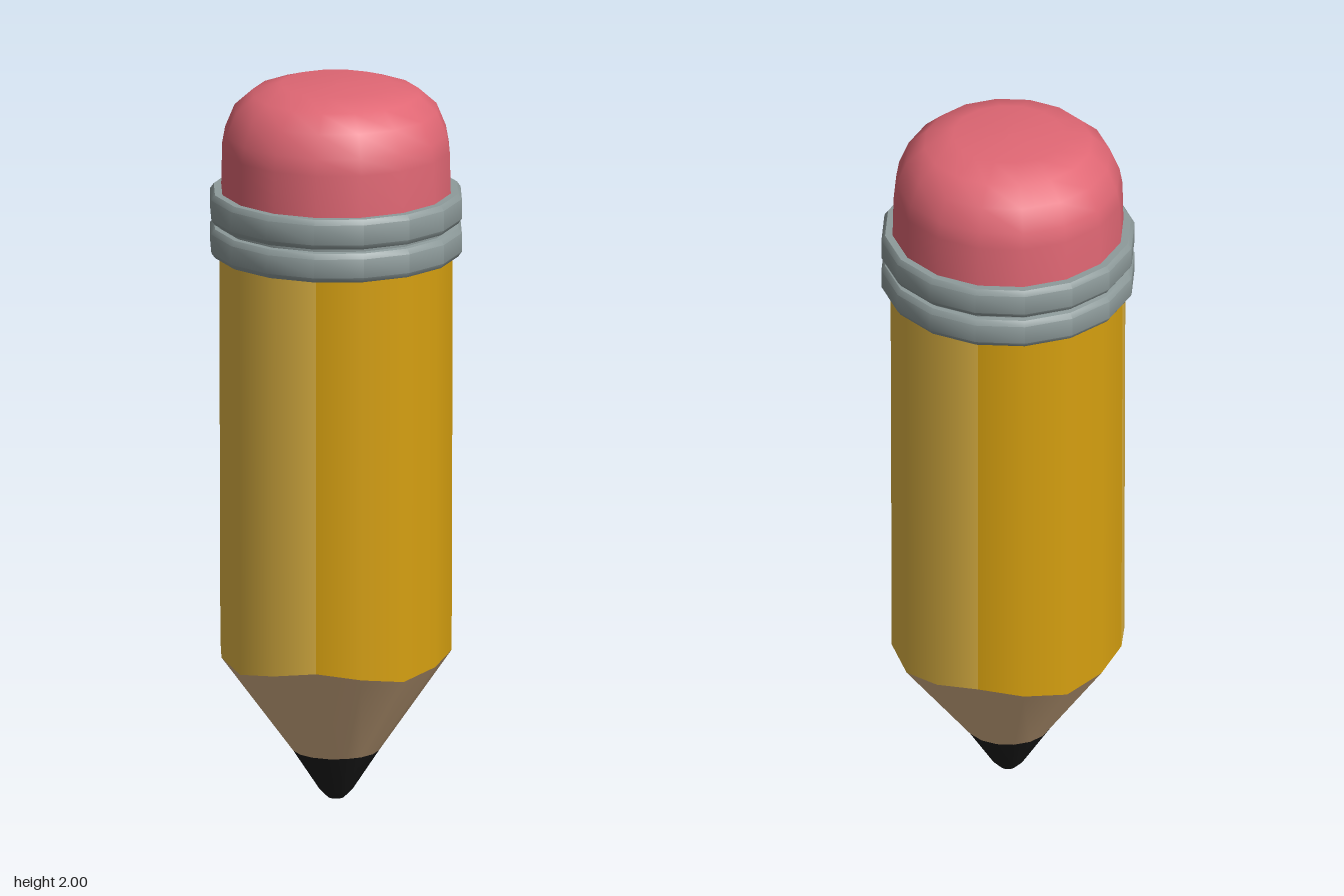
import * as THREE from 'three';
import { toCreasedNormals } from 'three/addons/utils/BufferGeometryUtils.js';

const SIDES = 16;
const BODY_RADIUS = 0.317;
const SHOULDER = 0.412; // mean height of the sharpened edge

const material = (name, color) => {
  const m = new THREE.MeshStandardMaterial({ color });
  m.name = name;
  return m;
};

const lathe = (points, sides = SIDES, start = 0, length = Math.PI * 2) =>
  new THREE.LatheGeometry(points.map(([r, y]) => new THREE.Vector2(r, y)), sides, start, length);

// Make the sharpened edge rise and fall four times around the pencil
function waveShoulder(geometry) {
  const p = geometry.attributes.position;
  for (let i = 0; i < p.count; i++) {
    if (Math.abs(p.getY(i) - SHOULDER) > 0.001) continue;
    const angle = Math.atan2(p.getZ(i), p.getX(i));
    p.setY(i, SHOULDER + 0.018 * Math.cos(4 * (angle - Math.PI / 8)));
  }
  return geometry;
}

export function createModel() {
  const pencil = new THREE.Group();
  pencil.name = 'pencil';

  const yellow = material('yellow paint', 0xd6a010);
  const paleYellow = material('pale yellow paint', 0xdfb443);
  const wood = material('wood', 0xdbb58a);
  const graphite = material('graphite', 0x1e1e1e);
  const metal = material('metal', 0x8e9b9b);
  const rubber = material('rubber', 0xe06774);

  const add = (name, geometry, mat) => {
    const mesh = new THREE.Mesh(geometry, mat);
    mesh.name = name;
    pencil.add(mesh);
  };

  // Rounded graphite point
  add('graphiteTip', lathe([[0, 0], [0.022, 0.005], [0.045, 0.028], [0.118, 0.14]]), graphite);

  // Sharpened wooden cone
  add('woodCone', waveShoulder(lathe([[0.118, 0.14], [BODY_RADIUS, SHOULDER]])), wood);

  // Painted barrel: four quarters in alternating yellows
  for (let i = 0; i < 4; i++) {
    const quarter = lathe([[BODY_RADIUS, SHOULDER], [0.32, 1.54]], SIDES / 4,
      -Math.PI / 8 + i * Math.PI / 2, Math.PI / 2);
    add('barrelQuarter' + (i + 1), waveShoulder(quarter), i % 2 ? paleYellow : yellow);
  }

  // Two bevelled metal bands with a groove between them
  const band = (y0, y1) => [[0.335, y0], [0.345, y0 + 0.014], [0.345, y1 - 0.014], [0.335, y1]];
  const ferrule = lathe([
    [0.3, 1.53], ...band(1.53, 1.61), [0.322, 1.612], [0.322, 1.62], ...band(1.622, 1.705), [0.3, 1.705],
  ]);
  add('ferrule', toCreasedNormals(ferrule, Math.PI / 5), metal);

  // Soft domed eraser
  add('eraser', lathe([
    [0.315, 1.69], [0.312, 1.82], [0.304, 1.865], [0.278, 1.928],
    [0.228, 1.973], [0.15, 1.998], [0, 2],
  ]), rubber);

  return pencil;
}
